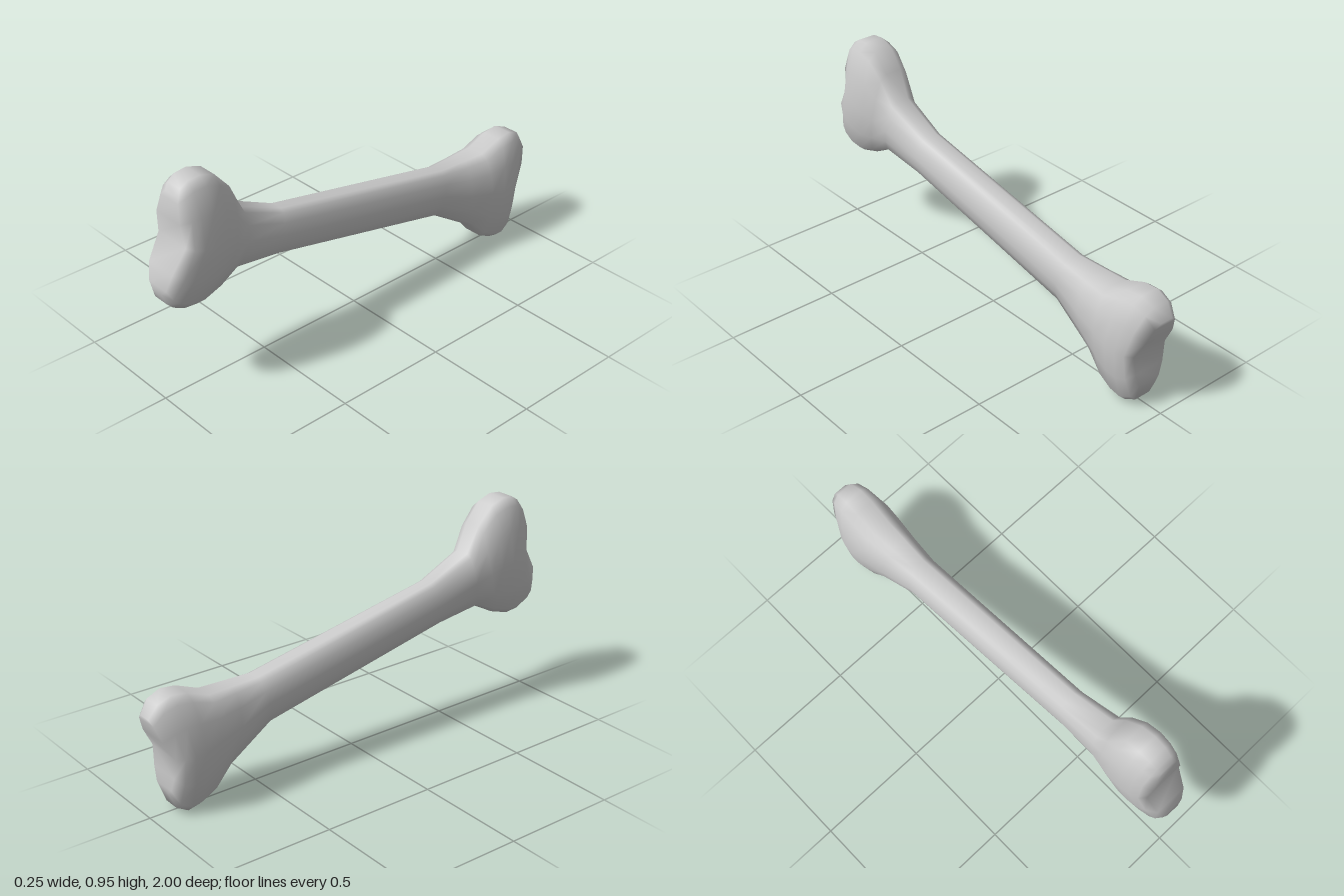
import * as THREE from 'three';

// Sections from the front end to the back end: [half width, [z, y] points from top edge to bottom edge]
const SECTIONS = [
  [0.085, [0.91, 0.90], [0.925, 0.80], [0.915, 0.70], [0.975, 0.60], [1.0, 0.505]],
  [0.11, [0.89, 0.925], [0.89, 0.69], [0.985, 0.46]],
  [0.12, [0.855, 0.947], [0.85, 0.68], [0.96, 0.435]],
  [0.126, [0.80, 0.952], [0.80, 0.675], [0.91, 0.41]],
  [0.122, [0.735, 0.93], [0.74, 0.66], [0.85, 0.403]],
  [0.11, [0.665, 0.85], [0.69, 0.64], [0.76, 0.43]],
  [0.09, [0.61, 0.735], [0.62, 0.61], [0.665, 0.48]],
  [0.075, [0.41, 0.645], [0.43, 0.55], [0.45, 0.45]],
  [0.081, [-0.49, 0.47], [-0.47, 0.37], [-0.45, 0.262]],
  [0.102, [-0.62, 0.47], [-0.62, 0.32], [-0.66, 0.13]],
  [0.12, [-0.73, 0.47], [-0.73, 0.30], [-0.735, 0.045]],
  [0.127, [-0.83, 0.51], [-0.80, 0.28], [-0.80, 0.012]],
  [0.122, [-0.90, 0.519], [-0.85, 0.27], [-0.85, 0.0]],
  [0.11, [-0.96, 0.495], [-0.89, 0.265], [-0.90, 0.028]],
  [0.085, [-0.997, 0.44], [-0.965, 0.35], [-0.92, 0.265], [-0.925, 0.18], [-0.93, 0.10]],
];

// Rounded section: [position from top to bottom, share of the half width]
const ROWS = [[0, 0.34], [0.06, 0.63], [0.25, 0.86], [0.5, 1], [0.75, 0.86], [0.94, 0.63], [1, 0.34]];

function boneGeometry() {
  const positions = [], index = [];
  const rows = ROWS.length, n = rows * 2;

  // One closed loop per section: down the left side, up the right side
  for (const [width, ...points] of SECTIONS) {
    const spine = new THREE.CatmullRomCurve3(
      points.map(([z, y]) => new THREE.Vector3(0, y, z)), false, 'catmullrom');
    const side = ROWS.map(([t, share]) => {
      const p = spine.getPoint(t);
      return [width * share, p.y, p.z];
    });
    for (const [x, y, z] of side) positions.push(x, y, z);
    for (const [x, y, z] of [...side].reverse()) positions.push(-x, y, z);
  }

  // Skin between neighbouring loops
  for (let i = 0; i < SECTIONS.length - 1; i++) {
    for (let j = 0; j < n; j++) {
      const k = (j + 1) % n;
      const a = i * n + j, b = i * n + k, c = a + n, d = b + n;
      index.push(a, b, c, b, d, c);
    }
  }

  // Notched end faces, bridged from side to side
  const last = (SECTIONS.length - 1) * n;
  for (let j = 0; j < rows - 1; j++) {
    const l = j, l2 = j + 1, r = n - 1 - j, r2 = n - 2 - j;
    index.push(r, r2, l, r2, l2, l);
    index.push(last + r, last + l, last + r2, last + r2, last + l, last + l2);
  }

  const geometry = new THREE.BufferGeometry();
  geometry.setAttribute('position', new THREE.Float32BufferAttribute(positions, 3));
  geometry.setIndex(index);
  geometry.computeVertexNormals();
  return geometry;
}

export function createModel() {
  const group = new THREE.Group();
  const bone = new THREE.Mesh(boneGeometry(), new THREE.MeshStandardMaterial({ color: 0xcccccc }));
  bone.name = 'bone';
  group.add(bone);
  return group;
}
